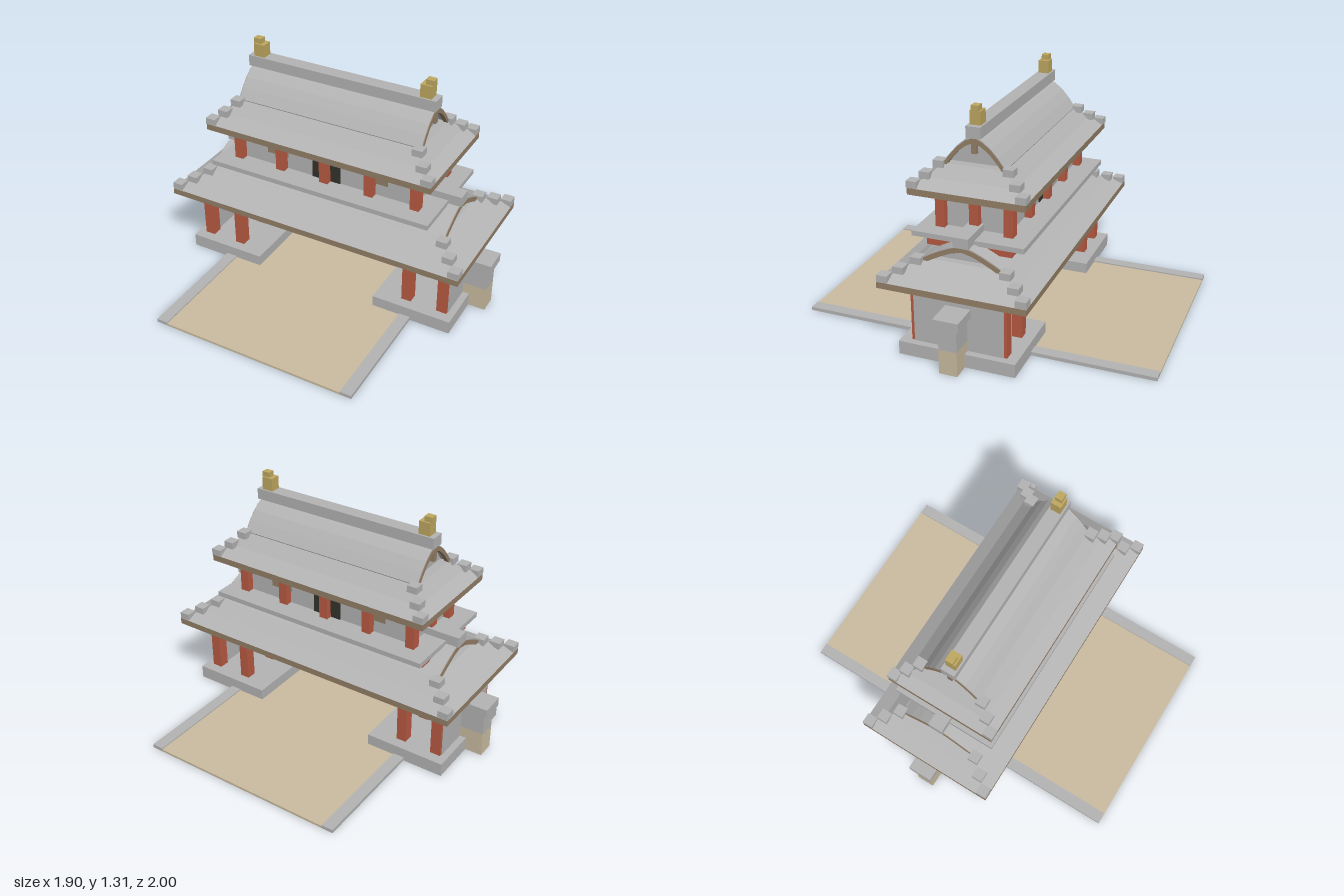
import * as THREE from 'three';

const mat = (name, color) => Object.assign(new THREE.MeshStandardMaterial({ color }), { name });

export function createModel() {
  const grey = mat('stone and tile grey', 0xb4b4b4);
  const red = mat('painted timber red', 0xb85a42);
  const sand = mat('sand', 0xcabca0);
  const brown = mat('eave brown', 0x937f67);
  const dark = mat('door dark', 0x35322b);
  const gold = mat('gold', 0xbfa861);

  const model = new THREE.Group();
  model.name = 'gatehouse';
  const add = (name, geo, material) => {
    const m = new THREE.Mesh(geo, material);
    m.name = name;
    model.add(m);
    return m;
  };
  // Box by ranges: x0..x1, y0..y1, z0..z1
  const box = (name, material, x0, x1, y0, y1, z0, z1) =>
    add(name, new THREE.BoxGeometry(x1 - x0, y1 - y0, z1 - z0), material)
      .position.set((x0 + x1) / 2, (y0 + y1) / 2, (z0 + z1) / 2);
  // Box centred on x and z = 0
  const slab = (name, material, hx, y0, y1, hz) => box(name, material, -hx, hx, y0, y1, -hz, hz);
  const post = (name, material, x, z, w, y0, y1) =>
    box(name, material, x - w / 2, x + w / 2, y0, y1, z - w / 2, z + w / 2);
  const sides = [-1, 1];

  // Hipped skirt: rectangular rings [halfX, halfZ, y] joined by quads, closed on top
  const skirt = (rings) => {
    const p = [];
    const corner = ([hx, hz, y], k) => [k % 4 < 2 ? hx : -hx, y, k % 4 === 0 || k % 4 === 3 ? hz : -hz];
    const quad = (a, b, c, d) => p.push(...a, ...b, ...c, ...a, ...c, ...d);
    for (let i = 0; i + 1 < rings.length; i++)
      for (let k = 0; k < 4; k++)
        quad(corner(rings[i], k), corner(rings[i], k + 1), corner(rings[i + 1], k + 1), corner(rings[i + 1], k));
    const top = rings[rings.length - 1];
    quad(corner(top, 0), corner(top, 1), corner(top, 2), corner(top, 3));
    const g = new THREE.BufferGeometry();
    g.setAttribute('position', new THREE.Float32BufferAttribute(p, 3));
    g.computeVertexNormals();
    return g;
  };

  // Arched band following a half profile [z, y], between two drops, swept from x0 to x1
  const arch = (half, dropTop, dropBottom, x0, x1) => {
    const full = [...half, ...half.slice(0, -1).reverse().map(([z, y]) => [-z, y])];
    const over = full.map(([z, y]) => new THREE.Vector2(z, y - dropTop));
    const under = dropBottom === null
      ? []
      : full.map(([z, y]) => new THREE.Vector2(z * 0.97, y - dropBottom)).reverse();
    const g = new THREE.ExtrudeGeometry(new THREE.Shape([...over, ...under]), { depth: x1 - x0, bevelEnabled: false });
    return g.rotateY(Math.PI / 2).translate(x0, 0, 0);
  };

  // Hip-and-gable roof
  const roof = (name, { eave, rings, verge, half, ridge, blocks, blockSize }) => {
    slab(name + 'EaveBoard', brown, ...eave);
    add(name + 'Skirt', skirt(rings), grey);
    add(name + 'GableTiles', arch(half, 0, 0.014, -verge, verge), grey);
    add(name + 'GableWall', arch(half, 0.01, null, -verge + 0.05, verge - 0.05), grey);
    for (const s of sides) {
      const x = s * (verge - 0.008);
      add(name + 'BargeBoard', arch(half, 0.005, 0.032, x - 0.012, x + 0.012), brown);
    }
    slab(name + 'Ridge', grey, ...ridge);
    // Stepped blocks on the hips
    for (const sx of sides) for (const sz of sides) for (const [x, y, z] of blocks) {
      const b = add(name + 'HipBlock', new THREE.BoxGeometry(blockSize, 0.038, blockSize), grey);
      b.position.set(sx * x, y, sz * z);
    }
  };

  // Road with kerbs
  slab('road', sand, 0.535, 0, 0.013, 1);
  for (const s of sides)
    box('kerb', grey, s * 0.5675 - 0.0325, s * 0.5675 + 0.0325, 0, 0.02, -1, 1);

  for (const s of sides) {
    const span = (name, m, a, b, ...rest) => box(name, m, Math.min(s * a, s * b), Math.max(s * a, s * b), ...rest);
    // Plinth, end wall and lower columns
    span('plinth', grey, 0.37, 0.83, 0, 0.076, -0.325, 0.325);
    span('endWall', grey, 0.74, 0.792, 0.076, 0.365, -0.25, 0.25);
    for (const z of [-0.237, 0, 0.237]) {
      post('lowerColumn', red, s * 0.546, z, 0.057, 0.076, 0.37);
      post('lowerColumn', red, s * 0.758, z, 0.06, 0.076, 0.37);
    }
    // Flanking wall stub with cap
    span('stubWallBase', sand, 0.785, 0.927, 0, 0.14, -0.05, 0.05);
    span('stubWall', grey, 0.785, 0.927, 0.14, 0.275, -0.05, 0.05);
    span('stubWallCap', grey, 0.775, 0.948, 0.27, 0.32, -0.07, 0.07);
  }
  for (const z of [-0.232, 0, 0.232])
    box('lowerBeam', red, -0.793, 0.793, 0.362, 0.402, z - 0.037, z + 0.037);

  roof('lowerRoof', {
    eave: [0.89, 0.402, 0.437, 0.406],
    rings: [[0.89, 0.406, 0.437], [0.8, 0.315, 0.475], [0.72, 0.235, 0.53]],
    verge: 0.73,
    half: [[0.235, 0.528], [0.17, 0.566], [0.115, 0.594], [0.06, 0.618], [0, 0.632]],
    ridge: [0.742, 0.625, 0.682, 0.042],
    blocks: [[0.86, 0.457, 0.375], [0.8, 0.488, 0.313], [0.735, 0.524, 0.245]],
    blockSize: 0.06,
  });

  // Balcony
  slab('balconyBeam', red, 0.64, 0.568, 0.615, 0.235);
  slab('balconyFloor', grey, 0.667, 0.615, 0.643, 0.31);

  // Upper storey
  slab('upperWall', grey, 0.535, 0.643, 0.835, 0.175);
  slab('upperBeam', red, 0.585, 0.828, 0.848, 0.215);
  for (const x of [-0.547, -0.275, 0, 0.275, 0.547])
    for (const z of [-0.19, 0.19]) post('upperColumn', red, x, z, 0.052, 0.643, 0.835);
  for (const s of sides) {
    post('upperColumn', red, s * 0.547, 0, 0.052, 0.643, 0.835);
    const z = s * 0.177;
    box('door', dark, -0.086, 0.086, 0.643, 0.808, z - 0.004, z + 0.004);
    for (const x of [-0.308, 0.308])
      box('window', brown, x - 0.066, x + 0.066, 0.715, 0.822, z - 0.004, z + 0.004);
  }

  roof('upperRoof', {
    eave: [0.678, 0.846, 0.882, 0.32],
    rings: [[0.678, 0.32, 0.882], [0.61, 0.24, 0.93], [0.553, 0.17, 0.995]],
    verge: 0.553,
    half: [[0.17, 1.0], [0.13, 1.055], [0.09, 1.1], [0.045, 1.135], [0, 1.155]],
    ridge: [0.565, 1.148, 1.21, 0.04],
    blocks: [[0.65, 0.902, 0.295], [0.6, 0.942, 0.245], [0.55, 0.994, 0.19]],
    blockSize: 0.058,
  });

  for (const s of sides) {
    // Gable pendant
    box('gablePendant', brown, s * 0.545 - 0.012, s * 0.545 + 0.012, 1.065, 1.13, -0.014, 0.014);
    // Ridge-end ornament
    box('ridgeOrnament', gold, s * 0.502 - 0.033, s * 0.502 + 0.033, 1.21, 1.283, -0.03, 0.03);
    box('ridgeOrnamentTip', gold, s * 0.517 - 0.023, s * 0.517 + 0.023, 1.272, 1.312, -0.02, 0.02);
  }
  return model;
}
